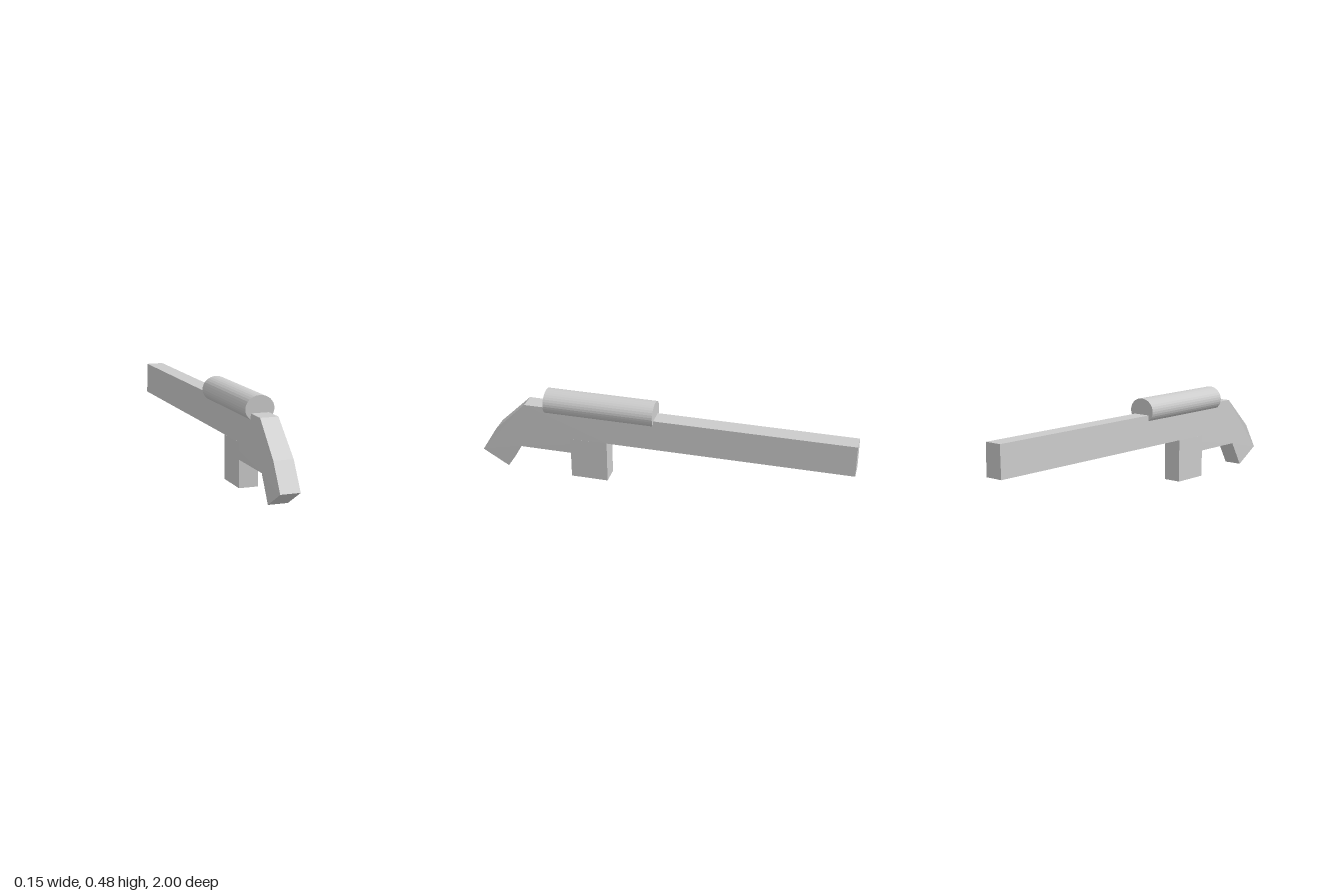
import * as THREE from 'three';

export function createModel() {
  const model = new THREE.Group();
  const material = new THREE.MeshStandardMaterial({ color: 0xcccccc, flatShading: true });

  const add = (name, geometry) => {
    const mesh = new THREE.Mesh(geometry, material);
    mesh.name = name;
    model.add(mesh);
    return mesh;
  };

  // Body: side profile as (z, y), extruded across the width
  const profile = [
    [-1, 0.228], [0.3, 0.228], [0.3, 0.142], [0.785, 0.142], [0.86, 0.01],
    [1, 0.093], [0.918, 0.23], [0.75, 0.395], [-1, 0.395],
  ];
  const shape = new THREE.Shape(profile.map(([z, y]) => new THREE.Vector2(z, y)));
  const body = new THREE.ExtrudeGeometry(shape, { depth: 0.1, bevelEnabled: false });
  body.translate(0, 0, -0.05).rotateY(-Math.PI / 2);

  // The top edge is slightly narrower than the rest
  const pos = body.attributes.position;
  for (let i = 0; i < pos.count; i++) {
    if (pos.getY(i) > 0.3) pos.setX(i, pos.getX(i) * 0.92);
  }
  body.computeVertexNormals();
  add('body', body);

  // Block hanging below the body, sunk into it
  add('lowerBlock', new THREE.BoxGeometry(0.1, 0.228, 0.2)).position.set(0, 0.114, 0.4);

  // Oval tube lying along the top
  const tube = new THREE.CylinderGeometry(1, 1, 0.59, 32);
  tube.rotateX(Math.PI / 2).scale(0.074, 0.065, 1);
  add('topTube', tube).position.set(0, 0.415, 0.342);

  return model;
}
